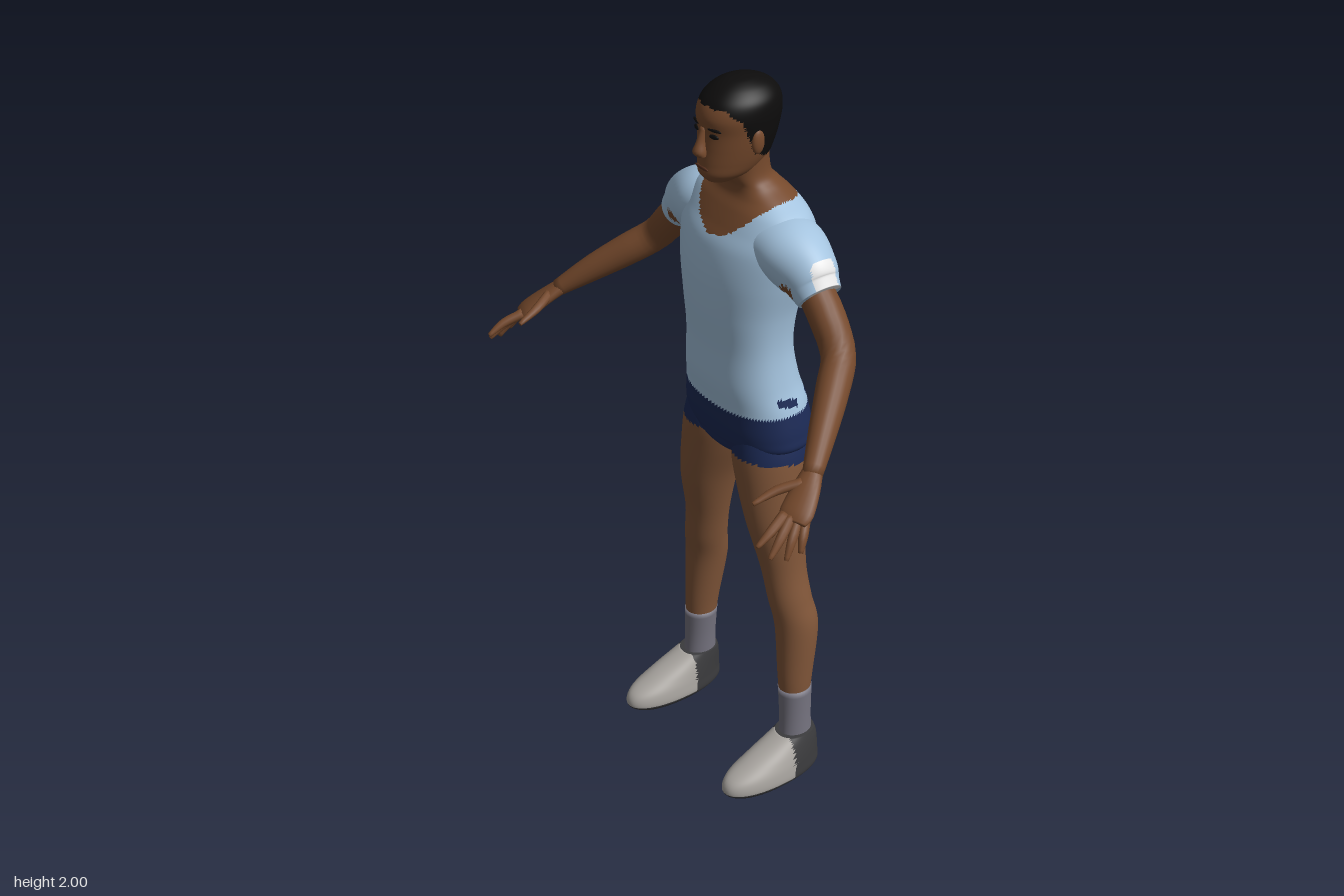
import * as THREE from 'three';

const COLORS = {
  skin: 0x75492c, legSkin: 0x815639, shirt: 0xa4c3de, shorts: 0x1c2a55, hair: 0x0d0c0c,
  sock: 0x75737f, shoe: 0xaba7a2, sole: 0x3b3b3d, white: 0xffffff, lips: 0x56301f,
};
const NAMES = Object.keys(COLORS);
const id = (name) => NAMES.indexOf(name);

// Smooth interpolation through rows of numbers, t in 0..1
function sampleRows(rows, t) {
  const n = rows.length - 1, f = Math.min(t * n, n - 1e-6), i = Math.floor(f), u = f - i;
  const at = (k) => rows[Math.max(0, Math.min(n, k))];
  return rows[i].map((p1, k) => {
    const p0 = at(i - 1)[k], p2 = at(i + 1)[k], p3 = at(i + 2)[k];
    return p1 + 0.5 * u * (p2 - p0 + u * (2 * p0 - 5 * p1 + 4 * p2 - p3 + u * (3 * (p1 - p2) + p3 - p0)));
  });
}

// Skin elliptical rings [x, y, z, radiusA, radiusB] into a closed body.
// upright: rings stay level; otherwise they turn with the path.
// paint: picks a colour name for each face from its centre.
function loft(rows, { upright = false, segs = 20, steps = 4, power = 1, warp, paint } = {}) {
  const rings = (rows.length - 1) * steps, pos = [], faces = [];
  const up = new THREE.Vector3(0, 1, 0), u = new THREE.Vector3(1, 0, 0), v = new THREE.Vector3(0, 0, 1);
  const point = (t) => new THREE.Vector3(...sampleRows(rows, t).slice(0, 3));
  const bend = (c) => Math.sign(c) * Math.abs(c) ** power;
  for (let i = 0; i <= rings; i++) {
    const t = i / rings, [x, y, z, a, b] = sampleRows(rows, t);
    if (!upright) {
      const dir = point(Math.min(1, t + 0.02)).sub(point(Math.max(0, t - 0.02))).normalize();
      u.crossVectors(dir, up).normalize();
      v.crossVectors(u, dir);
    }
    for (let j = 0; j < segs; j++) {
      const th = (j / segs) * Math.PI * 2;
      const p = new THREE.Vector3(x, y, z).addScaledVector(u, a * bend(Math.cos(th))).addScaledVector(v, b * bend(Math.sin(th)));
      if (warp) warp(p);
      pos.push(p.x, p.y, p.z);
    }
  }
  for (const r of [rows[0], rows[rows.length - 1]]) pos.push(r[0], r[1], r[2]);
  const first = (rings + 1) * segs, last = first + 1;
  for (let j = 0; j < segs; j++) {
    const k = (j + 1) % segs;
    for (let i = 0; i < rings; i++) {
      const a = i * segs + j, b = i * segs + k, c = a + segs, d = b + segs;
      faces.push([a, c, b], [b, c, d]);
    }
    faces.push([first, j, k], [last, rings * segs + k, rings * segs + j]);
  }
  const geo = new THREE.BufferGeometry();
  geo.setAttribute('position', new THREE.Float32BufferAttribute(pos, 3));
  if (paint) {
    const buckets = NAMES.map(() => []);
    for (const f of faces) {
      const mid = [0, 1, 2].map((k) => f.reduce((s, q) => s + pos[q * 3 + k], 0) / 3);
      buckets[id(paint(...mid))].push(...f);
    }
    let start = 0;
    buckets.forEach((b, m) => { if (b.length) geo.addGroup(start, b.length, m); start += b.length; });
    geo.setIndex(buckets.flat());
  } else geo.setIndex(faces.flat());
  geo.computeVertexNormals();
  return geo;
}

// Mirrored copy across x = 0, with corner order turned round
function mirrored(geo) {
  const g = geo.clone(), ix = g.index;
  g.scale(-1, 1, 1);
  for (let i = 0; i < ix.count; i += 3) {
    const b = ix.getX(i + 1);
    ix.setX(i + 1, ix.getX(i + 2));
    ix.setX(i + 2, b);
  }
  g.computeVertexNormals();
  return g;
}

// Level rings given as [y, halfWidth, zFront, zBack]
const level = (rows) => rows.map(([y, w, f, b]) => [0, y, (f + b) / 2, w, (f - b) / 2]);
const blob = (x, y, z, sx, sy, sz) => new THREE.SphereGeometry(1, 16, 12).scale(sx, sy, sz).translate(x, y, z);
const ramp = (x, pts) => {
  for (let i = 1; i < pts.length; i++) {
    const [x0, y0] = pts[i - 1], [x1, y1] = pts[i];
    if (x <= x1) return y0 + (y1 - y0) * Math.max(0, (x - x0) / (x1 - x0));
  }
  return pts[pts.length - 1][1];
};

export function createModel() {
  const model = new THREE.Group();
  model.name = 'figure';
  const mats = NAMES.map((name) => {
    const m = new THREE.MeshStandardMaterial({ color: COLORS[name] });
    m.name = name;
    return m;
  });
  const add = (name, geo, color) => {
    const mesh = new THREE.Mesh(geo, color ? mats[id(color)] : mats);
    mesh.name = name;
    model.add(mesh);
  };
  const pair = (name, geo, color) => {
    add(name + 'Left', geo, color);
    add(name + 'Right', mirrored(geo), color);
  };

  // Torso: shorts, shirt with scooped collar, neck
  const torsoPaint = (x, y, z) => {
    const teeth = z < -0.2 && Math.abs(x) < 0.14 && Math.sin(x * 110) > 0.5 ? 0.03 : 0;
    if (y < 1.127 + teeth) return 'shorts';
    const patch = Math.abs(z + 0.14) < 0.03 && Math.abs(y - 1.16 - 0.25 * (z + 0.14)) < 0.011;
    if (patch) return 'shorts';
    const t = THREE.MathUtils.smoothstep(z, -0.17, -0.11);
    const collar = t * (1.603 + 0.1 * (x / 0.13) ** 2) + (1 - t) * (1.685 + 0.015 * (x / 0.12) ** 2);
    return y > collar ? 'skin' : 'shirt';
  };
  add('torso', loft(level([
    [0.955, 0.03, -0.1, -0.18], [0.985, 0.12, -0.05, -0.25], [1.02, 0.195, -0.035, -0.27],
    [1.06, 0.2, -0.025, -0.275], [1.13, 0.187, -0.02, -0.264], [1.2, 0.17, -0.01, -0.244],
    [1.3, 0.16, -0.008, -0.228], [1.4, 0.168, 0, -0.238], [1.5, 0.19, 0, -0.262],
    [1.58, 0.205, -0.015, -0.27], [1.63, 0.205, -0.04, -0.264], [1.67, 0.18, -0.062, -0.25],
    [1.7, 0.13, -0.08, -0.232], [1.725, 0.088, -0.083, -0.21], [1.755, 0.066, -0.075, -0.188],
    [1.83, 0.062, -0.075, -0.18],
  ]), {
    upright: true, segs: 112, steps: 8, power: 0.88, paint: torsoPaint,
    warp: (p) => { // spine groove and seat crease
      if (p.z < -0.18 && p.y < 1.64) p.z += (p.y < 1.1 ? 0.022 : 0.013) * Math.exp(-((p.x / 0.035) ** 2));
    },
  }));

  // Head with a painted hairline
  const hairline = [[-0.2, 1.78], [-0.13, 1.815], [-0.1, 1.83], [-0.085, 1.86], [-0.06, 1.92], [-0.03, 1.945], [0, 1.95]];
  add('head', loft(level([
    [1.748, 0.03, -0.02, -0.1], [1.77, 0.056, 0, -0.15], [1.8, 0.07, 0.001, -0.188],
    [1.84, 0.08, -0.002, -0.205], [1.88, 0.086, -0.004, -0.216], [1.92, 0.089, 0, -0.222],
    [1.955, 0.083, -0.014, -0.215], [1.98, 0.062, -0.042, -0.192], [1.995, 0.033, -0.075, -0.155],
    [2, 0.006, -0.11, -0.12],
  ]), {
    upright: true, segs: 72, steps: 8,
    paint: (x, y, z) => (y > ramp(z, hairline) + 0.003 * Math.sin(x * 160) ? 'hair' : 'skin'),
  }));

  // Face
  add('nose', loft([[0, 1.822, 0.003, 0.017, 0.012], [0, 1.835, 0.005, 0.017, 0.019],
    [0, 1.86, 0.001, 0.01, 0.013], [0, 1.895, -0.006, 0.008, 0.007]], { upright: true }), 'skin');
  add('mouth', blob(0, 1.79, 0, 0.026, 0.005, 0.004), 'lips');
  pair('eye', blob(0, 0, 0, 0.014, 0.006, 0.004).rotateY(0.3).translate(0.035, 1.879, -0.011), 'hair');
  pair('eyebrow', blob(0, 0, 0, 0.021, 0.004, 0.004).rotateY(0.3).translate(0.036, 1.896, -0.011), 'hair');
  pair('ear', blob(0.084, 1.86, -0.105, 0.01, 0.032, 0.018), 'skin');

  // Sleeves with a white cuff patch and a worn spot in front
  pair('sleeve', loft([
    [0.09, 1.6, -0.145, 0.09, 0.075], [0.17, 1.592, -0.145, 0.092, 0.085],
    [0.235, 1.562, -0.145, 0.075, 0.08], [0.265, 1.537, -0.144, 0.064, 0.064], [0.287, 1.519, -0.143, 0.058, 0.053],
  ], {
    segs: 56, steps: 10,
    paint: (x, y, z) => {
      if (x > 0.287 && y > 1.518 && Math.abs(z + 0.143) < 0.034) return 'white';
      if (z > -0.11 && Math.hypot(x - 0.237, y - 1.53) < 0.02 + 0.005 * Math.sin(x * 500)) return 'skin';
      return 'shirt';
    },
  }));

  // Arms and hands
  pair('arm', loft([
    [0.25, 1.545, -0.143, 0.045, 0.045], [0.32, 1.475, -0.142, 0.046, 0.046], [0.38, 1.405, -0.13, 0.043, 0.043],
    [0.43, 1.355, -0.075, 0.042, 0.042], [0.49, 1.295, 0, 0.035, 0.035], [0.548, 1.232, 0.075, 0.025, 0.022],
  ]), 'skin');
  pair('palm', loft([
    [0.54, 1.24, 0.065, 0.024, 0.02], [0.563, 1.21, 0.105, 0.036, 0.018],
    [0.585, 1.175, 0.148, 0.043, 0.017], [0.594, 1.16, 0.168, 0.034, 0.01],
  ]), 'skin');
  const fingers = {
    indexFinger: [[0.572, 1.174, 0.175], [0.588, 1.155, 0.225], [0.592, 1.13, 0.268]],
    middleFinger: [[0.584, 1.168, 0.165], [0.606, 1.14, 0.21], [0.618, 1.104, 0.25]],
    ringFinger: [[0.594, 1.164, 0.15], [0.618, 1.132, 0.186], [0.632, 1.092, 0.213]],
    littleFinger: [[0.602, 1.164, 0.135], [0.626, 1.135, 0.16], [0.639, 1.102, 0.176]],
    thumb: [[0.548, 1.222, 0.105], [0.522, 1.208, 0.16], [0.511, 1.187, 0.22]],
  };
  for (const [name, [a, b, c]] of Object.entries(fingers)) {
    pair(name, loft([[...a, 0.013, 0.013], [...b, 0.012, 0.012], [...c, 0.006, 0.006]], { segs: 10 }), 'skin');
  }

  // Legs, covered by the shorts at the top
  pair('leg', loft([
    [0.216, 0.25, -0.155, 0.038, 0.044], [0.214, 0.32, -0.157, 0.044, 0.05], [0.204, 0.47, -0.165, 0.056, 0.06],
    [0.188, 0.56, -0.152, 0.057, 0.06], [0.168, 0.66, -0.143, 0.058, 0.063], [0.145, 0.8, -0.133, 0.073, 0.083],
    [0.118, 0.92, -0.138, 0.091, 0.098], [0.103, 1.0, -0.145, 0.098, 0.106], [0.1, 1.06, -0.147, 0.085, 0.1],
  ], {
    upright: true, segs: 40, steps: 8,
    paint: (x, y, z) => (y > 0.985 + 0.1 * (z + 0.15) - 0.03 * Math.max(0, 1 - x / 0.04) ? 'shorts' : 'legSkin'),
  }));

  // Socks and shoes
  pair('sock', loft([[0.224, 0.09, -0.155, 0.04, 0.05], [0.221, 0.18, -0.155, 0.039, 0.046],
    [0.217, 0.274, -0.155, 0.043, 0.048]], { upright: true, segs: 28 }), 'sock');
  pair('shoe', loft([
    [0.23, 0, -0.065, 0.053, 0.135], [0.23, 0.018, -0.066, 0.064, 0.155], [0.23, 0.05, -0.072, 0.063, 0.148],
    [0.229, 0.08, -0.1, 0.058, 0.118], [0.227, 0.11, -0.132, 0.051, 0.083], [0.225, 0.132, -0.152, 0.045, 0.056],
  ], {
    upright: true, segs: 56, steps: 6, power: 0.92,
    paint: (x, y, z) => (y < 0.019 || z < -0.108 ? 'sole' : 'shoe'),
  }));

  return model;
}
